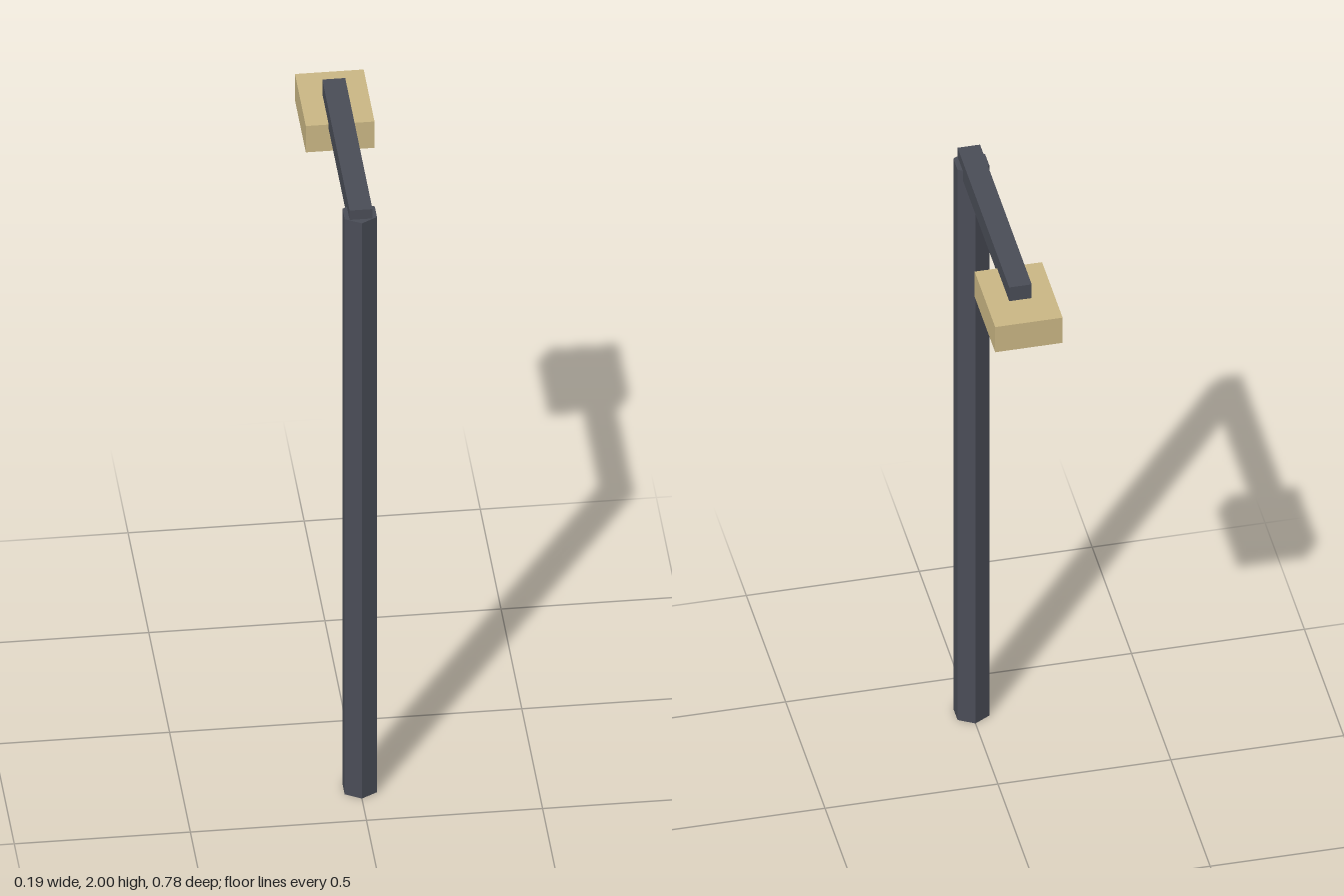
import * as THREE from 'three';

export function createModel() {
  const group = new THREE.Group();
  group.name = 'streetLamp';

  const metal = new THREE.MeshStandardMaterial({ color: 0x4a4d57, flatShading: true });
  metal.name = 'darkMetal';
  const glow = new THREE.MeshStandardMaterial({ color: 0xcbb885, flatShading: true });
  glow.name = 'warmLamp';

  const add = (name, geometry, material, y, z) => {
    const mesh = new THREE.Mesh(geometry, material);
    mesh.name = name;
    mesh.position.set(0, y, z);
    group.add(mesh);
  };

  // Hexagonal upright with a corner facing the front
  add('pole', new THREE.CylinderGeometry(0.053, 0.053, 1.968, 6), metal, 0.984, 0.338);

  // Horizontal arm reaching to the back
  add('arm', new THREE.BoxGeometry(0.065, 0.065, 0.657), metal, 1.9675, 0.0415);

  // Lamp head hanging around the arm's end
  add('lampHead', new THREE.BoxGeometry(0.195, 0.09, 0.261), glow, 1.906, -0.2635);

  return group;
}
